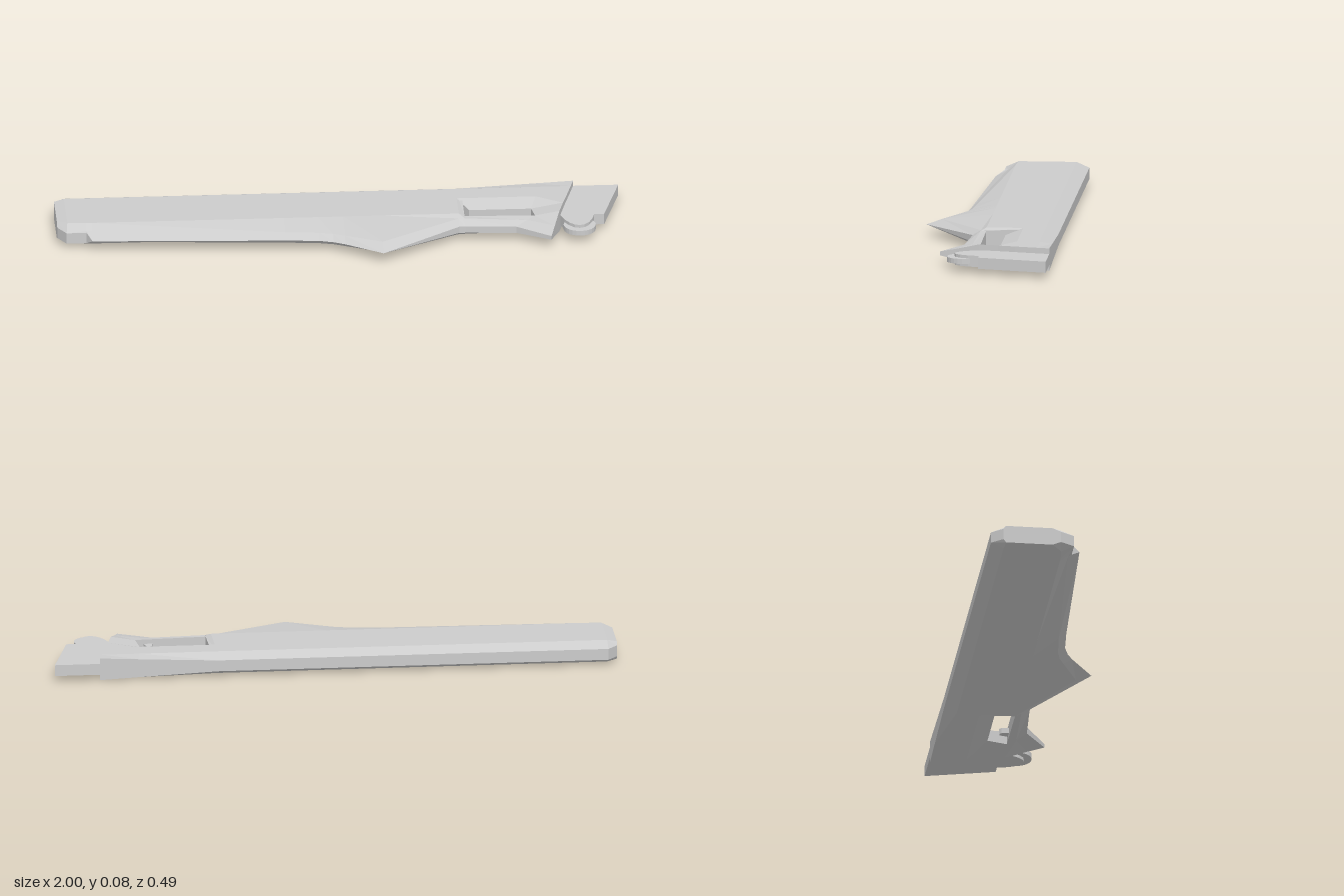
import * as THREE from 'three';

const MID = 0.04; // height of the symmetry plane
const material = new THREE.MeshStandardMaterial({ color: 0xcccccc, flatShading: true });

// Loft through sections running towards +x. Each section lists [x, z, halfThickness]
// from back to front and is mirrored about the middle plane.
function loft(name, sections) {
  const pos = [];
  const tri = (...pts) => {
    const [a, b, c] = pts.map(p => new THREE.Vector3(...p));
    const area = b.clone().sub(a).cross(c.clone().sub(a)).length();
    if (area > 1e-8) pts.forEach(p => pos.push(...p));
  };
  const quad = (a, b, c, d) => { tri(a, b, c); tri(a, c, d); };
  const rings = sections.map(s => [
    ...s.map(([x, z, h]) => [x, MID + h, z]),
    ...s.map(([x, z, h]) => [x, MID - h, z]).reverse(),
  ]);
  const n = rings[0].length;
  for (let s = 0; s < rings.length - 1; s++) {
    for (let i = 0; i < n; i++) {
      const j = (i + 1) % n;
      quad(rings[s][i], rings[s][j], rings[s + 1][j], rings[s + 1][i]);
    }
  }
  const first = rings[0], last = rings[rings.length - 1];
  for (let i = 0; i < n / 2 - 1; i++) {
    const k = n - 1 - i;
    quad(last[i], last[i + 1], last[k - 1], last[k]);
    quad(first[k], first[k - 1], first[i + 1], first[i]);
  }
  const geo = new THREE.BufferGeometry();
  geo.setAttribute('position', new THREE.Float32BufferAttribute(pos, 3));
  geo.computeVertexNormals();
  const mesh = new THREE.Mesh(geo, material);
  mesh.name = name;
  return mesh;
}

// Flat plate from an outline in (x, z), centred on the middle plane
function plate(name, shape, thickness) {
  const geo = new THREE.ExtrudeGeometry(shape, { depth: thickness, bevelEnabled: false, curveSegments: 8 });
  geo.rotateX(Math.PI / 2).translate(0, MID + thickness / 2, 0);
  const mesh = new THREE.Mesh(geo, material);
  mesh.name = name;
  return mesh;
}

export function createModel() {
  const group = new THREE.Group();
  group.name = 'bladeHandle';

  // Main body: bevelled back, flat middle, sharp front edge.
  // Each row: x, inner front z, front edge z
  const back = x => [[x, -0.245, 0.02], [x, -0.2, 0.04]];
  const edgeRows = [
    [-0.88, 0.04, 0.08], [-0.2, 0.088, 0.115], [-0.08, 0.1, 0.125], [-0.03, 0.112, 0.14],
    [0.01, 0.13, 0.16], [0.14, 0.19, 0.245],
  ];
  group.add(loft('body', [
    [[-1, -0.205, 0.02], [-1, -0.195, 0.032], [-1, -0.03, 0.032], [-1, 0, 0.02], [-1, 0, 0.02]],
    [[-0.965, -0.245, 0.02], [-0.965, -0.2, 0.04], [-0.965, 0.005, 0.04], [-0.97, 0.05, 0.02], [-0.97, 0.05, 0.02]],
    [...back(-0.9), [-0.9, 0.01, 0.04], [-0.9, 0.04, 0.022], [-0.9, 0.05, 0.02]],
    ...edgeRows.map(([x, inner, edge]) => [...back(x), [x, 0.01, 0.04], [x, inner, 0.02], [x, edge, 0]]),
    [...back(0.42), [0.42, 0.01, 0.04], [0.42, 0.03, 0.03], [0.42, 0.06, 0.012]],
    [...back(0.44), [0.44, 0.01, 0.032], [0.44, 0.03, 0.03], [0.44, 0.061, 0.012]],
  ]));

  // Spine behind the slot, sloping down towards the opening
  group.add(loft('spine', [
    [[0.42, -0.245, 0.02], [0.42, -0.2, 0.04], [0.42, -0.12, 0.04], [0.46, -0.06, 0.02]],
    [[0.7, -0.245, 0.033], [0.7, -0.2, 0.04], [0.7, -0.12, 0.04], [0.68, -0.06, 0.02]],
  ]));

  // Thin guard in front of the slot
  group.add(loft('guard', [
    [[0.43, 0.01, 0.03], [0.43, 0.03, 0.03], [0.43, 0.06, 0.012]],
    [[0.69, 0.01, 0.025], [0.66, 0.04, 0.022], [0.62, 0.073, 0.012]],
  ]));

  // Slanted end block with its pointed front
  group.add(loft('endBlock', [
    [[0.7, -0.245, 0.033], [0.7, -0.2, 0.04], [0.7, -0.12, 0.04], [0.68, -0.06, 0.02],
      [0.69, 0.01, 0.025], [0.66, 0.04, 0.022], [0.62, 0.073, 0.012]],
    [[0.84, -0.245, 0.04], [0.829, -0.2, 0.04], [0.809, -0.12, 0.04], [0.793, -0.06, 0.04],
      [0.776, 0.01, 0.04], [0.755, 0.09, 0.02], [0.74, 0.15, 0.007]],
  ]));

  // Tail plate with a rounded tongue
  const tail = new THREE.Shape();
  tail.moveTo(0.838, -0.245);
  tail.lineTo(1, -0.245);
  tail.lineTo(0.935, 0);
  tail.lineTo(0.9, 0);
  tail.bezierCurveTo(0.88, 0.12, 0.81, 0.12, 0.78, 0);
  tail.closePath();
  group.add(plate('tailPlate', tail, 0.04));

  // Round disc set into the tongue
  const disc = new THREE.Mesh(new THREE.CylinderGeometry(0.057, 0.057, 0.018, 24), material);
  disc.name = 'tailDisc';
  disc.position.set(0.845, MID, 0.06);
  group.add(disc);

  // Small stop inside the slot
  const stop = new THREE.Shape([
    [0.628, 0.015], [0.632, -0.015], [0.64, -0.023], [0.652, -0.02], [0.662, 0.015],
  ].map(p => new THREE.Vector2(...p)));
  group.add(plate('slotStop', stop, 0.02));

  return group;
}
